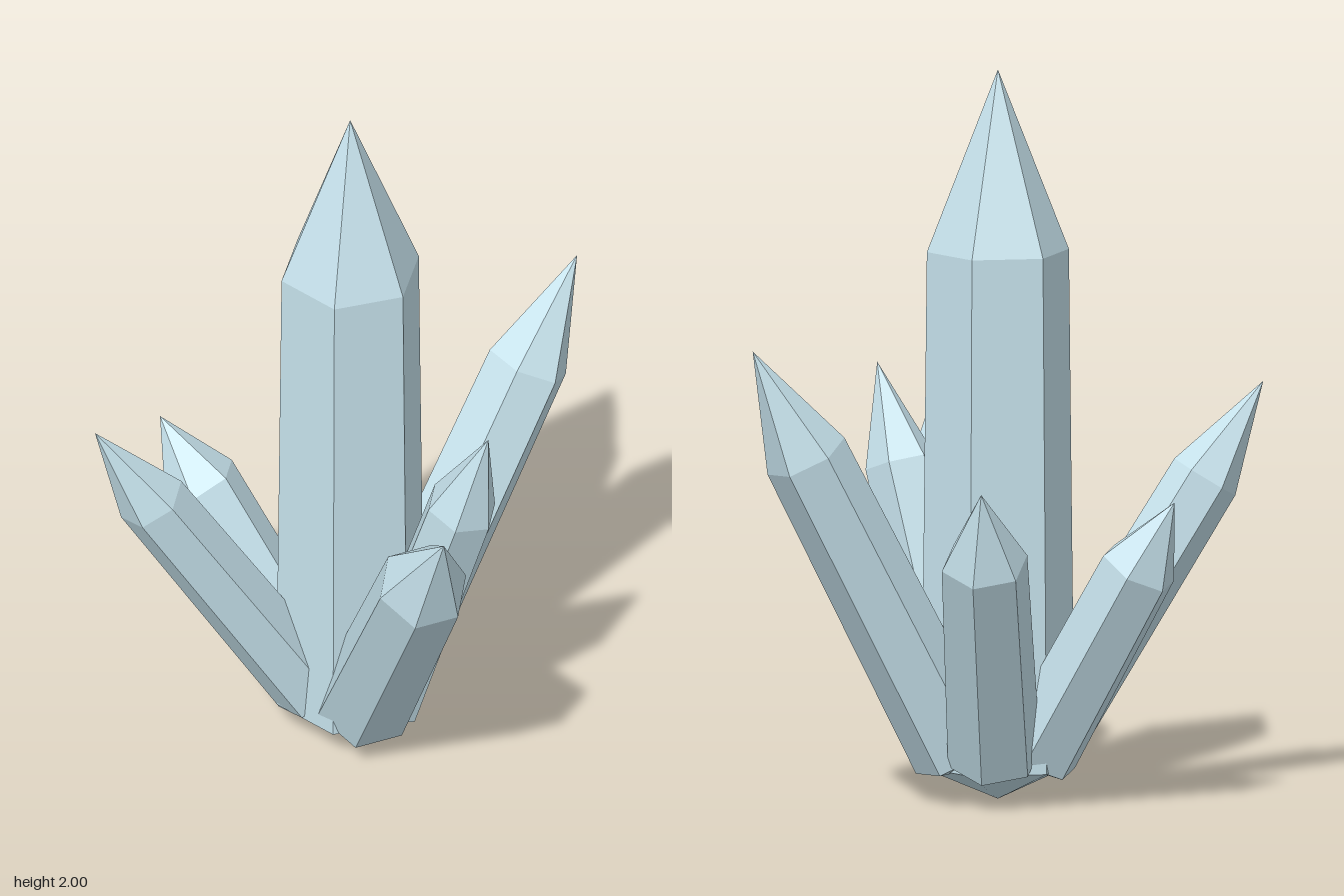
import * as THREE from 'three';

const material = new THREE.MeshStandardMaterial({ color: 0xc6e2ec, flatShading: true });
const UP = new THREE.Vector3(0, 1, 0);

// Six-sided crystal: blunt lower point, gently tapering shaft, long pointed tip.
// The twist (degrees) turns its edges about its own axis.
function crystal(name, base, tip, radius, twist) {
  const start = new THREE.Vector3(...base);
  const axis = new THREE.Vector3(...tip).sub(start);
  const length = axis.length();
  axis.normalize();

  const profile = [
    [0, -0.43 * radius * 1.08],
    [radius * 1.08, 0],
    [radius, 0.74 * length],
    [0, length],
  ].map(([r, y]) => new THREE.Vector2(r, y));
  const geometry = new THREE.LatheGeometry(profile, 6, THREE.MathUtils.degToRad(twist));

  // Lean the crystal along its axis, keeping one cross direction level
  const level = new THREE.Vector3().crossVectors(UP, axis);
  if (level.length() < 1e-4) level.set(0, 0, -1);
  level.normalize();
  const inward = new THREE.Vector3().crossVectors(axis, level);
  geometry.applyMatrix4(new THREE.Matrix4().makeBasis(inward, axis, level).setPosition(start));

  const mesh = new THREE.Mesh(geometry, material);
  mesh.name = name;
  return mesh;
}

export function createModel() {
  const group = new THREE.Group();
  group.name = 'crystalCluster';
  group.add(
    // Tall upright centre
    crystal('mainCrystal', [-0.01, 0.09, -0.125], [-0.01, 2, -0.125], 0.195, 14),
    // Ring of leaning crystals
    crystal('leftCrystal', [0.11, 0.13, -0.123], [0.715, 1.27, -0.108], 0.116, 9),
    crystal('rightCrystal', [-0.12, 0.13, -0.15], [-0.72, 1.125, -0.305], 0.097, 22),
    crystal('frontCrystal', [-0.04, 0.13, -0.01], [-0.185, 1.085, 0.605], 0.126, 3),
    crystal('frontLeftCrystal', [0.03, 0.12, -0.01], [0.14, 1.145, 0.33], 0.099, 30),
    crystal('backLeftCrystal', [0.05, 0.13, -0.23], [0.26, 0.915, -0.6], 0.12, 19),
    crystal('backRightCrystal', [-0.08, 0.13, -0.225], [-0.325, 0.855, -0.585], 0.109, 16),
  );
  return group;
}
